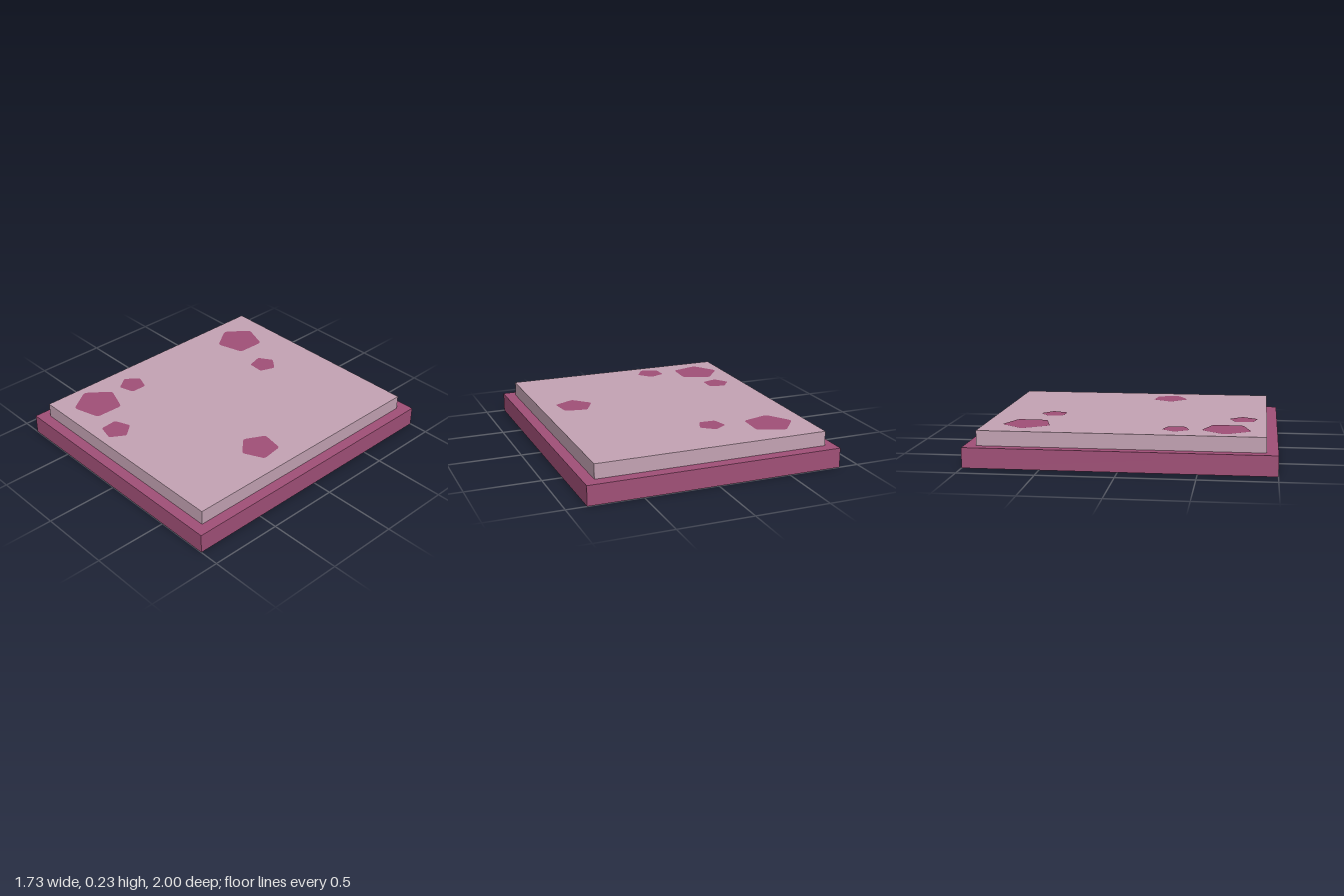
import * as THREE from 'three';

const pink = new THREE.MeshStandardMaterial({ color: 0xa15078, side: THREE.DoubleSide });
pink.name = 'deep pink';
const pale = new THREE.MeshStandardMaterial({ color: 0xc4a3b4, side: THREE.DoubleSide });
pale.name = 'pale pink';

// Box shell without its underside
function openBox(name, material, [x0, x1], [y0, y1], [z0, z1]) {
  const geo = new THREE.BoxGeometry(x1 - x0, y1 - y0, z1 - z0);
  geo.setIndex(Array.from(geo.index.array).filter((_, i) => i < 18 || i >= 24));
  geo.clearGroups();
  geo.translate((x0 + x1) / 2, (y0 + y1) / 2, (z0 + z1) / 2);
  const mesh = new THREE.Mesh(geo, material);
  mesh.name = name;
  return mesh;
}

// Flat pentagon with softened corners; angle in degrees, turning from +x to +z
function spot(x, z, radius, degrees, y) {
  const corners = [];
  for (let i = 0; i < 5; i++) {
    const a = THREE.MathUtils.degToRad(-degrees - i * 72);
    corners.push(new THREE.Vector2(Math.cos(a), Math.sin(a)).multiplyScalar(radius));
  }
  const shape = new THREE.Shape();
  corners.forEach((c, i) => {
    const from = c.clone().lerp(corners[(i + 4) % 5], 0.12);
    const to = c.clone().lerp(corners[(i + 1) % 5], 0.12);
    if (i === 0) shape.moveTo(from.x, from.y);
    else shape.lineTo(from.x, from.y);
    shape.quadraticCurveTo(c.x, c.y, to.x, to.y);
  });
  shape.closePath();
  const mesh = new THREE.Mesh(new THREE.ShapeGeometry(shape, 3).rotateX(-Math.PI / 2), pink);
  mesh.position.set(x, y, z);
  mesh.name = 'spot';
  return mesh;
}

export function createModel() {
  const model = new THREE.Group();
  model.name = 'spottedSlab';

  // Hollow base tray and the raised slab on it
  model.add(openBox('base', pink, [-0.865, 0.865], [0, 0.133], [-1, 1]));
  model.add(openBox('topSlab', pale, [-0.795, 0.79], [0.133, 0.232], [-0.92, 0.925]));

  // Spots: x, z, radius, angle
  const spots = new THREE.Group();
  spots.name = 'spots';
  [
    [-0.53, -0.638, 0.168, 38],
    [-0.157, -0.53, 0.094, 57],
    [0.553, 0.21, 0.132, 28],
    [-0.598, 0.345, 0.094, 37],
    [-0.574, 0.67, 0.168, 38],
    [-0.236, 0.772, 0.1, 68],
  ].forEach(([x, z, r, a]) => spots.add(spot(x, z, r, a, 0.234)));
  model.add(spots);

  return model;
}
